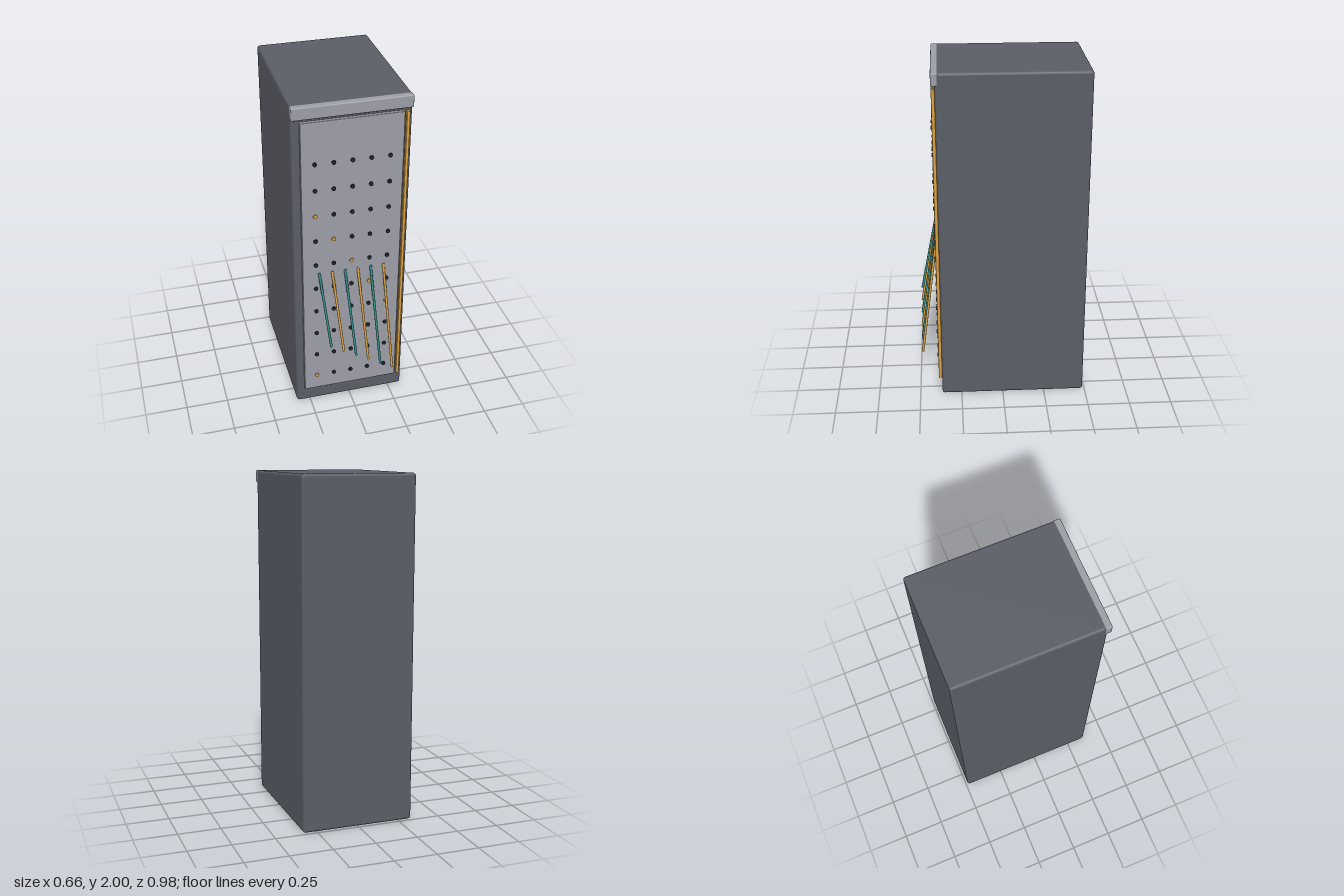
import * as THREE from 'three';
import { RoundedBoxGeometry } from 'three/addons/geometries/RoundedBoxGeometry.js';

const mat = (color) => new THREE.MeshStandardMaterial({ color });

export function createModel() {
  const group = new THREE.Group();
  const dark = mat(0x5a5d66), silver = mat(0x9c9ea6), gold = mat(0xd9a040);
  const teal = mat(0x2f8a88), black = mat(0x22242b);

  const add = (name, geometry, material, x, y, z) => {
    const mesh = new THREE.Mesh(geometry, material);
    mesh.name = name;
    mesh.position.set(x, y, z);
    group.add(mesh);
    return mesh;
  };
  // Rounded box given by its minimum and maximum corners
  const block = (name, material, [x0, y0, z0], [x1, y1, z1], radius) =>
    add(name, new RoundedBoxGeometry(x1 - x0, y1 - y0, z1 - z0, 3, radius), material,
      (x0 + x1) / 2, (y0 + y1) / 2, (z0 + z1) / 2);

  // Cabinet, front panel, top header and side light strip
  block('cabinet', dark, [-0.332, 0, -0.488], [0.332, 2, 0.367], 0.016);
  block('frontPanel', silver, [-0.286, 0.1, 0.352], [0.286, 1.91, 0.386], 0.004);
  block('header', silver, [-0.332, 1.928, 0.348], [0.332, 2, 0.389], 0.007);
  block('lightStrip', gold, [0.295, 0.1, 0.366], [0.314, 1.908, 0.387], 0.004);

  // Grid of sockets, with a diagonal of gold ones
  const socket = new THREE.CylinderGeometry(0.012, 0.012, 0.018, 16).rotateX(Math.PI / 2);
  for (let row = 0; row < 10; row++) {
    for (let col = 0; col < 5; col++) {
      const lit = (row + col) % 7 === 0;
      add(lit ? 'goldSocket' : 'socket', socket, lit ? gold : black,
        (col - 2) * 0.105, 0.203 + row * 0.162, 0.385);
    }
  }

  // Straight cables hanging out from the panel, each longer than the last
  const up = new THREE.Vector3(0, 1, 0);
  for (let i = 0; i < 6; i++) {
    const x = -0.19 + i * 0.076;
    const top = new THREE.Vector3(x, 0.955, 0.383);
    const end = new THREE.Vector3(x + 0.046, 0.482 - i * 0.0475, 0.48);
    const dir = top.clone().sub(end);
    const mid = top.clone().add(end).multiplyScalar(0.5);
    const cable = add('cable', new THREE.CylinderGeometry(0.0075, 0.0075, dir.length(), 12),
      i % 2 ? gold : teal, mid.x, mid.y, mid.z);
    cable.quaternion.setFromUnitVectors(up, dir.normalize());
  }
  return group;
}
